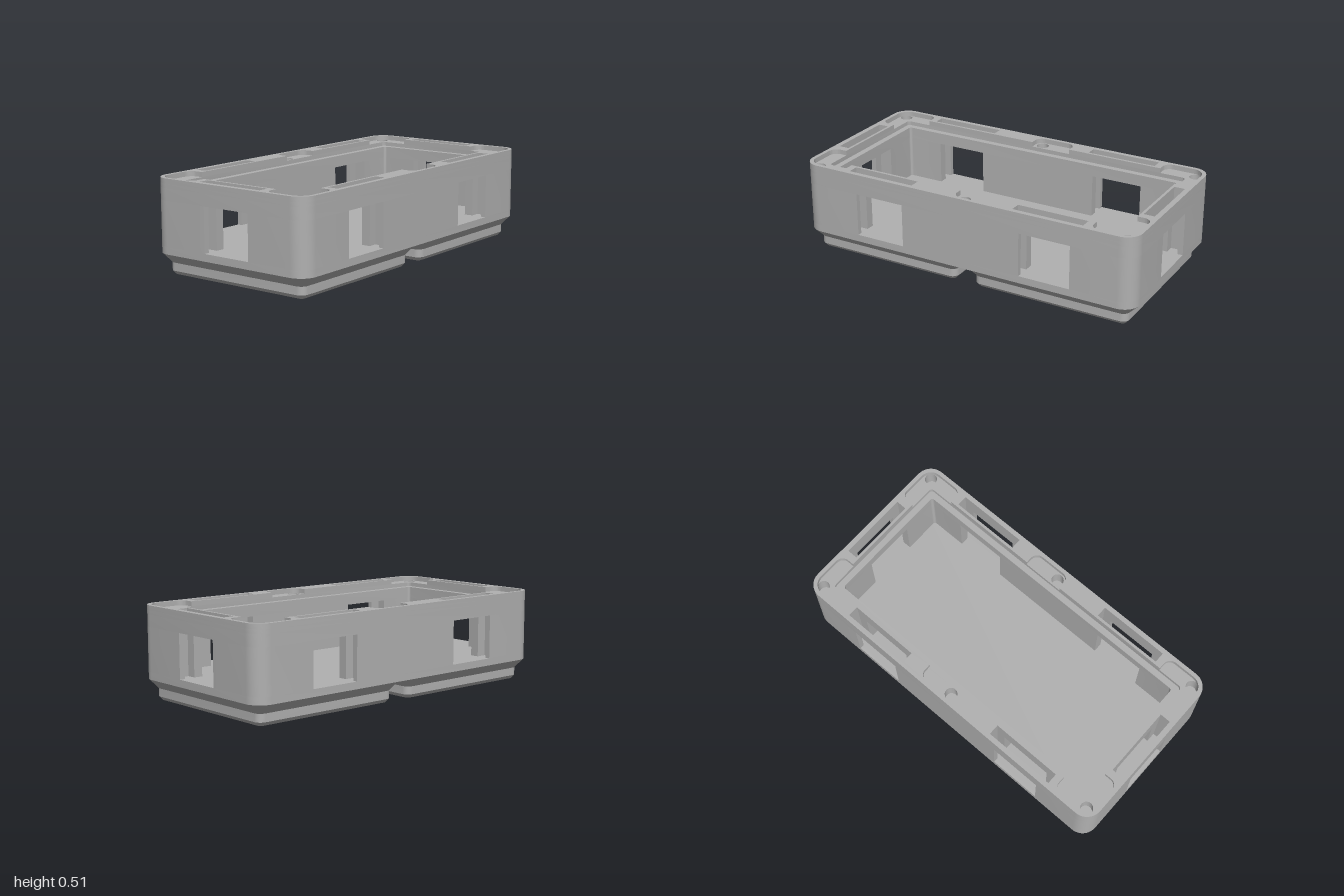
import * as THREE from 'three';
import { toCreasedNormals } from 'three/addons/utils/BufferGeometryUtils.js';

const W = 1, D = 0.497, R = 0.09;            // outer half sizes and corner radius
const Y = { base: 0.117, floor: 0.157, head: 0.4, ledge: 0.465, recess: 0.488, top: 0.515 };

// Closed outline from [x, z, optional corner radius] points
function outline(points, Type = THREE.Shape) {
  const path = new Type();
  const n = points.length;
  const toward = (a, b, d) => {
    const len = Math.hypot(b[0] - a[0], b[1] - a[1]);
    return [a[0] + (b[0] - a[0]) * d / len, a[1] + (b[1] - a[1]) * d / len];
  };
  points.forEach((p, i) => {
    const r = p[2] || 0;
    const a = r ? toward(p, points[(i + n - 1) % n], r) : p;
    if (i === 0) path.moveTo(a[0], a[1]); else path.lineTo(a[0], a[1]);
    if (!r) return;
    const b = toward(p, points[(i + 1) % n], r);
    const k = 0.552;
    path.bezierCurveTo(
      a[0] + (p[0] - a[0]) * k, a[1] + (p[1] - a[1]) * k,
      b[0] + (p[0] - b[0]) * k, b[1] + (p[1] - b[1]) * k, b[0], b[1]);
  });
  path.closePath();
  return path;
}

const rect = (x0, x1, z0, z1, r = 0) => [[x0, z0, r], [x1, z0, r], [x1, z1, r], [x0, z1, r]];
const hole = (points) => outline(points, THREE.Path);

// Upright slab of a plan shape between two heights
function slab(shape, y0, y1) {
  const g = new THREE.ExtrudeGeometry(shape, { depth: y1 - y0, bevelEnabled: false, curveSegments: 10 });
  g.rotateX(Math.PI / 2).translate(0, y1, 0);
  return toCreasedNormals(g, 0.5);
}

// Foot: stacked rounded-square sections, closed underneath
function footGeometry() {
  const sections = [[0, 0.427, 0.02], [0.021, 0.446, 0.039], [0.065, 0.446, 0.039], [Y.base, 0.497, R]];
  const steps = 8, pos = [], idx = [];
  for (const [y, half, r] of sections) {
    for (let c = 0; c < 4; c++) {
      const sx = c === 0 || c === 3 ? 1 : -1, sz = c < 2 ? 1 : -1;
      for (let s = 0; s <= steps; s++) {
        const a = (c + s / steps) * Math.PI / 2;
        pos.push(sx * (half - r) + r * Math.cos(a), y, sz * (half - r) + r * Math.sin(a));
      }
    }
  }
  const n = 4 * (steps + 1);
  for (let k = 0; k < sections.length - 1; k++) {
    for (let i = 0; i < n; i++) {
      const a = k * n + i, b = k * n + (i + 1) % n;
      idx.push(a, a + n, b, b, a + n, b + n);
    }
  }
  for (let i = 1; i < n - 1; i++) idx.push(0, i, i + 1);
  const g = new THREE.BufferGeometry();
  g.setAttribute('position', new THREE.Float32BufferAttribute(pos, 3));
  g.setIndex(idx);
  return toCreasedNormals(g, 0.5);
}

export function createModel() {
  const model = new THREE.Group();
  const grey = new THREE.MeshStandardMaterial({ color: 0xb0b0b0 });
  grey.name = 'grey';
  const add = (name, geometry) => {
    const mesh = new THREE.Mesh(geometry, grey);
    mesh.name = name;
    model.add(mesh);
    return mesh;
  };

  // Feet and floor
  const foot = footGeometry();
  for (const s of [-1, 1]) add(s > 0 ? 'leftFoot' : 'rightFoot', foot).position.x = s * 0.503;
  add('floor', slab(outline(rect(-W, W, -D, D, R)), Y.base, Y.floor));

  // Wall pieces between the windows, notched by the panel slots
  const corner = [
    [W, 0.145], [W, D, R], [0.648, D], [0.648, 0.47], [0.705, 0.47], [0.705, 0.41], [0.648, 0.41],
    [0.648, 0.36], [0.86, 0.36, 0.015], [0.86, 0.145], [0.91, 0.145], [0.91, 0.198], [0.97, 0.198], [0.97, 0.145],
  ];
  const middle = [
    [0.355, D], [-0.355, D], [-0.355, 0.47], [-0.305, 0.47], [-0.305, 0.41], [-0.355, 0.41],
    [-0.355, 0.36], [0.355, 0.36], [0.355, 0.41], [0.305, 0.41], [0.305, 0.47], [0.355, 0.47],
  ];
  const flip = (points, sx, sz) => points.map(([x, z, r]) => [x * sx, z * sz, r]);
  for (const sz of [-1, 1]) {
    for (const sx of [-1, 1]) add('cornerWall', slab(outline(flip(corner, sx, sz)), Y.floor, Y.head));
    add('middleWall', slab(outline(flip(middle, 1, sz)), Y.floor, Y.head));
  }

  // Ring layers above the windows, with panel slots and screw holes
  function ring(cavity, screws) {
    const shape = outline(rect(-W, W, -D, D, R));
    shape.holes.push(hole(cavity));
    for (const s of [-1, 1]) {
      shape.holes.push(hole(flip(rect(0.91, 0.97, -0.198, 0.198), s, 1)));
      for (const t of [-1, 1]) shape.holes.push(hole(flip(rect(0.305, 0.705, 0.41, 0.47), s, t)));
      if (screws) {
        for (const x of [-0.935, 0, 0.935]) {
          const h = new THREE.Path();
          h.absarc(x, s * 0.435, 0.034, 0, Math.PI * 2);
          shape.holes.push(h);
        }
      }
    }
    return shape;
  }
  add('upperWall', slab(ring(rect(-0.86, 0.86, -0.36, 0.36, 0.015), true), Y.head, Y.ledge));
  add('lidLedgeWall', slab(ring(rect(-0.895, 0.895, -0.395, 0.395, 0.02), true), Y.ledge, Y.recess));

  // Rim: lid opening widened by recesses at the corners and the middle
  const frontEdge = [
    [0.895, 0.24], [0.978, 0.24, 0.045], [0.978, 0.475, 0.07], [0.745, 0.475, 0.045], [0.745, 0.395],
    [0.188, 0.395], [0.188, 0.475, 0.045], [-0.048, 0.475, 0.045], [-0.048, 0.395],
    [-0.745, 0.395], [-0.745, 0.475, 0.045], [-0.978, 0.475, 0.07], [-0.978, 0.24, 0.045], [-0.895, 0.24],
  ];
  const lidOpening = [...frontEdge, ...flip(frontEdge, 1, -1).reverse()];
  add('rim', slab(ring(lidOpening, false), Y.recess, Y.top));

  return model;
}
